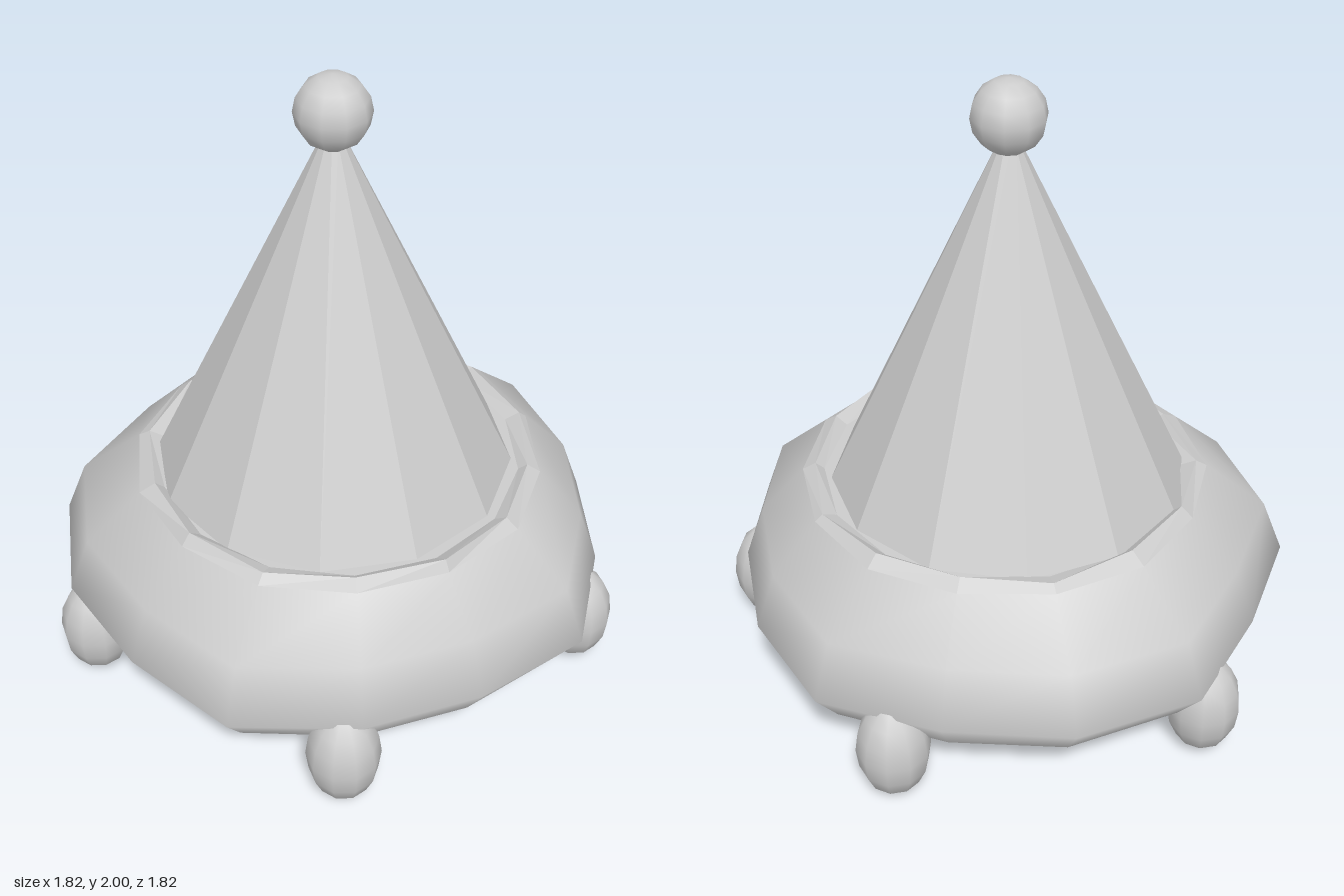
import * as THREE from 'three';

const SIDES = 14;
// Slightly irregular outline radii, from +x round to -x (mirrored in z)
const OUTLINE = [0.907, 0.85, 0.862, 0.914, 0.868, 0.903, 0.932, 0.87];
const outline = (i) => {
  const k = ((i % SIDES) + SIDES) % SIDES;
  return OUTLINE[Math.min(k, SIDES - k)];
};

// Skin a stack of rings; each ring is a function (i) => [radius, y]
function skin(rings) {
  const pos = [], idx = [];
  rings.forEach((ring, j) => {
    for (let i = 0; i < SIDES; i++) {
      const a = (i / SIDES) * Math.PI * 2;
      const [r, y] = ring(i);
      pos.push(r * Math.cos(a), y, r * Math.sin(a) + 0.01);
      if (j === 0) continue;
      const n = (i + 1) % SIDES, lo = (j - 1) * SIDES, up = j * SIDES;
      idx.push(lo + i, up + i, lo + n, up + i, up + n, lo + n);
    }
  });
  const g = new THREE.BufferGeometry();
  g.setAttribute('position', new THREE.Float32BufferAttribute(pos, 3));
  g.setIndex(idx);
  g.computeVertexNormals();
  return g;
}

function faceted(g) {
  const flat = g.toNonIndexed();
  flat.computeVertexNormals();
  return flat;
}

export function createModel() {
  const group = new THREE.Group();
  const grey = new THREE.MeshStandardMaterial({ color: 0xcccccc });
  grey.name = 'lightGrey';

  const add = (name, geometry, x = 0, y = 0, z = 0) => {
    const mesh = new THREE.Mesh(geometry, grey);
    mesh.name = name;
    mesh.position.set(x, y, z);
    group.add(mesh);
    return mesh;
  };

  // Rounded, uneven base
  const bottom = (i) => [outline(i) * 0.77 + 0.12, 0.2];
  const shoulder = (i) => [outline(i) * 0.2 + 0.475, 0.66];
  add('base', skin([
    bottom,
    (i) => [outline(i), 0.32],
    (i) => [outline(i) * 0.925, 0.5],
    shoulder,
  ]));
  add('baseUnderside', faceted(skin([() => [0, 0.2], bottom])));

  // Low wavy lip around the foot of the cone
  add('lip', faceted(skin([
    shoulder,
    (i) => [0.615 + 0.012 * Math.sin(i * 2.3), 0.687 + 0.009 * Math.sin(i * 1.9)],
    () => [0.575, 0.662],
    () => [0, 0.662],
  ])));

  // Twelve-sided cone with a ball on its tip
  const cone = new THREE.CylinderGeometry(0.035, 0.57, 1.14, 12, 1);
  add('cone', faceted(cone), -0.02, 1.23, 0.012);
  add('tipBall', new THREE.SphereGeometry(0.115, 10, 8), -0.018, 1.885, 0.014);

  // Five egg-shaped feet
  for (let i = 0; i < 5; i++) {
    const a = Math.PI + (i * Math.PI * 2) / 5;
    const foot = add('foot' + (i + 1), new THREE.SphereGeometry(1, 10, 8),
      -0.018 + 0.825 * Math.sin(a), 0.172, 0.012 + 0.825 * Math.cos(a));
    foot.scale.set(0.115, 0.172, 0.115);
  }
  return group;
}
